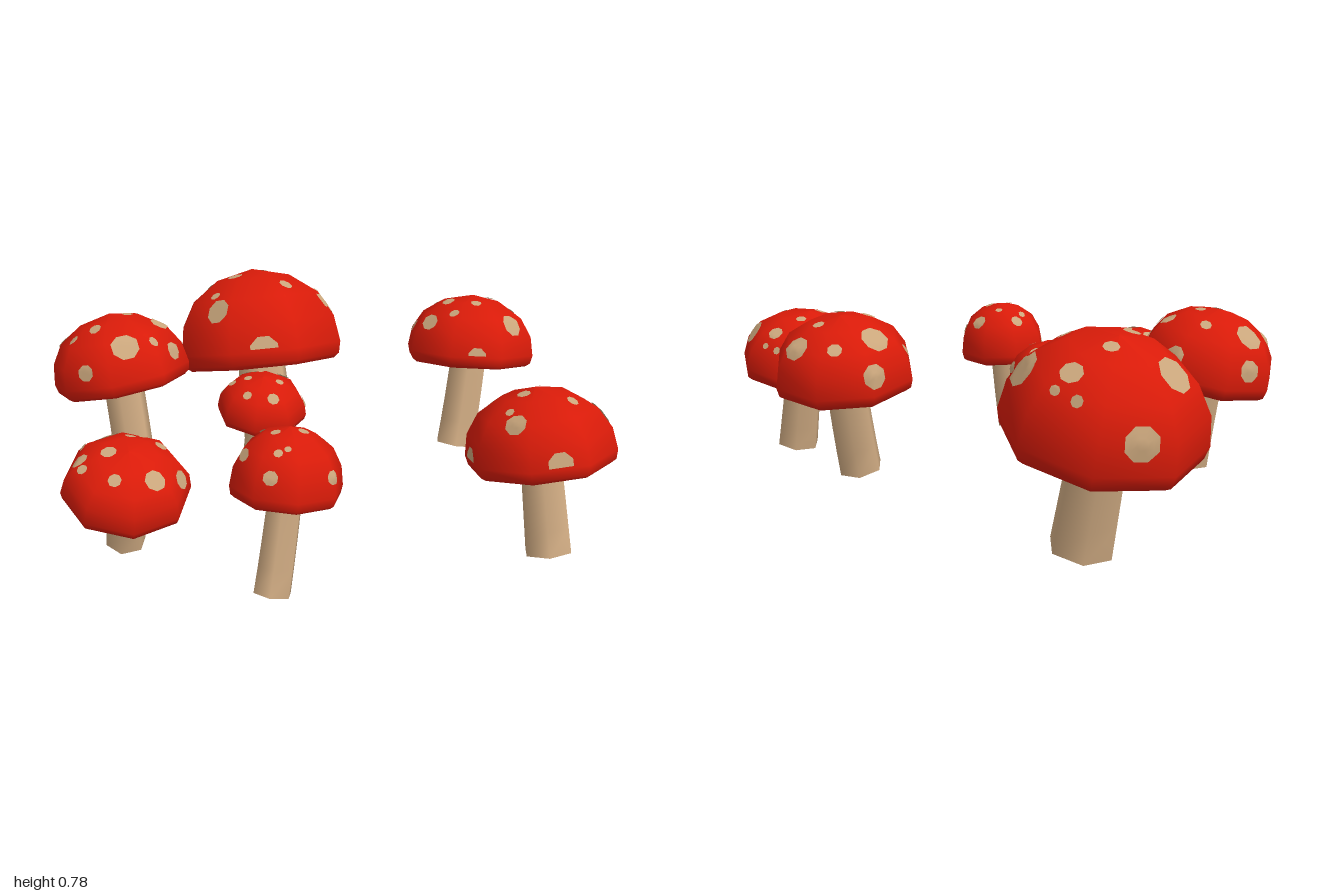
import * as THREE from 'three';
import { toCreasedNormals } from 'three/addons/utils/BufferGeometryUtils.js';

const red = new THREE.MeshStandardMaterial({ color: 0xd91b09 });
red.name = 'capRed';
const beige = new THREE.MeshStandardMaterial({ color: 0xd2ad84, side: THREE.DoubleSide });
beige.name = 'stemBeige';
const tan = new THREE.MeshStandardMaterial({ color: 0xcaa67c, side: THREE.DoubleSide });
tan.name = 'spotTan';

const UP = new THREE.Vector3(0, 1, 0);
const V = (x, y, z) => new THREE.Vector3(x, y, z);

// Spots: [x, z, radius] seen from above, as fractions of the cap radius.
// A fourth number puts the spot on the cap's wall at that fraction of its height.
const wideSpots = [[-.58, -.45, .19], [-.03, -.4, .08], [.33, -.6, .11], [.3, -.79, .06], [.48, -.67, .05], [.73, -.12, .19],
  [.33, .18, .08], [-.27, .06, .09], [-.45, .36, .06], [-.39, .58, .15], [.18, .9, .17], [-.93, .18, .19], [-.24, -.93, .19, .42]];
const evenSpots = [[-.45, -.5, .2], [.05, -.77, .1], [.58, -.55, .18], [.3, -.32, .08], [-.34, .09, .1], [.07, .25, .08],
  [-.25, .47, .08], [-.6, .4, .13], [.6, .4, .18], [-.85, -.1, .1], [.1, .9, .14], [-.5, -.8, .18, .38]];
const sideSpots = [[-.5, -.54, .2], [.09, -.54, .08], [.55, -.72, .15], [.54, -.11, .13], [.09, -.1, .08], [-.26, .37, .09],
  [-.57, .4, .08], [.22, .63, .2], [.57, .4, .08], [-.85, -.07, .12], [-.26, .92, .13, .35], [.9, .2, .14, .35], [-.47, -.85, .18, .4]];
const tallSpots = [[-.3, -.65, .14], [.1, -.45, .08], [.55, -.52, .17], [-.42, -.42, .08], [-.15, .1, .09], [.3, -.05, .1],
  [-.65, .3, .12], [-.05, .55, .08], [.1, .48, .06], [-.15, .8, .13], [-.92, -.1, .15], [.85, .4, .13]];
const smallSpots = [[-.3, -.55, .15], [.4, -.45, .15], [-.03, -.2, .07], [-.25, .18, .09], [.43, .18, .09],
  [.35, .65, .13], [-.2, .65, .1], [-.6, .15, .09], [-.9, -.2, .15, .38], [.9, -.1, .15, .38]];
const lowSpots = [[-.4, -.45, .21], [.05, -.25, .09], [.2, -.4, .06], [.5, -.27, .1], [-.65, -.1, .07], [-.15, .27, .12],
  [-.6, .3, .14], [-.5, .5, .08], [.57, .5, .16], [.03, .7, .1], [.87, .08, .15], [-.08, -.85, .12]];

// rim: centre of the cap's lower edge; slope: rise of that edge along x and z;
// foot: centre of the stem's base; stem: radii at base and top; turn in degrees
const mushrooms = [
  { rim: [-.313, .425, -.605], r: .345, h: .357, slope: [.12, .24], foot: [-.26, .02, -.53], stem: [.115, .1], turn: 35, spots: wideSpots },
  { rim: [.53, .55, -.30], r: .244, h: .232, slope: [-.03, .18], foot: [.49, .22, -.23], stem: [.078, .073], turn: 28, spots: evenSpots },
  { rim: [-.745, .505, -.035], r: .253, h: .25, slope: [.19, .1], foot: [-.705, .165, 0], stem: [.076, .074], turn: 7, spots: sideSpots },
  { rim: [-.205, .455, .135], r: .158, h: .147, slope: [-.08, -.17], foot: [-.23, .235, .12], stem: [.058, .055], turn: 0, spots: smallSpots },
  { rim: [.76, .435, .425], r: .25, h: .245, slope: [.13, .125], foot: [.80, .125, .47], stem: [.084, .074], turn: 35, spots: wideSpots },
  { rim: [-.565, .375, .69], r: .208, h: .177, slope: [-.18, -.3], foot: [-.59, .18, .635], stem: [.067, .06], turn: 20, spots: lowSpots },
  { rim: [-.04, .44, .77], r: .179, h: .21, slope: [-.06, .1], foot: [-.08, .118, .83], stem: [.064, .058], turn: 18, spots: tallSpots },
];

function lathe(profile, r, h, turn) {
  const points = profile.map(([x, y]) => new THREE.Vector2(x * r, y * h));
  return new THREE.LatheGeometry(points, 8, THREE.MathUtils.degToRad(turn));
}

// Slightly bent stem: an open six-sided tube swept along a curve
function stemGeometry(foot, top, axis, [rBase, rTop]) {
  const middle = top.clone().addScaledVector(axis, -.5 * top.distanceTo(foot));
  middle.lerp(foot.clone().lerp(top, .5), .7);
  const curve = new THREE.QuadraticBezierCurve3(foot, middle, top);
  const g = new THREE.CylinderGeometry(rTop, rBase, 1, 6, 4, true);
  const p = g.attributes.position;
  for (let i = 0; i < p.count; i++) {
    const t = p.getY(i) + .5;
    const q = new THREE.Quaternion().setFromUnitVectors(UP, curve.getTangent(t));
    const v = V(p.getX(i), 0, p.getZ(i)).applyQuaternion(q).add(curve.getPoint(t));
    p.setXYZ(i, v.x, v.y, v.z);
  }
  return toCreasedNormals(g, THREE.MathUtils.degToRad(66));
}

const castOnto = (cap, from, dir) => new THREE.Raycaster(from, dir).intersectObject(cap)[0]?.point;

// Middle of a spot in the cap's own frame
function spotCentre(cap, [x, z, , wall], r, h, untilt) {
  if (wall !== undefined) return V(x * r, wall * h, z * r);
  const down = V(0, -1, 0).applyQuaternion(untilt);
  for (let k = 1; k > .5; k -= .02) {
    const point = castOnto(cap, V(x * r * k, 2, z * r * k).applyQuaternion(untilt), down);
    if (point) return point;
  }
  return V(0, h, 0);
}

// Thin eight-sided spot draped over the cap
function spotGeometry(cap, centre, size, h) {
  const target = V(0, .12 * h, 0);
  const out = centre.clone().sub(target).normalize();
  const side = V(0, 1, .01).cross(out).normalize();
  const rise = out.clone().cross(side);
  const positions = [], index = [];
  const drape = (a, k) => {
    const v = centre.clone().addScaledVector(side, Math.cos(a) * k).addScaledVector(rise, Math.sin(a) * k);
    v.y = Math.max(v.y, .13 * h);
    const dir = v.sub(target).normalize();
    const point = castOnto(cap, target.clone().addScaledVector(dir, 2), dir.clone().negate()) ?? centre.clone();
    point.addScaledVector(dir, .004);
    positions.push(point.x, point.y, point.z);
  };
  drape(0, 0);
  for (let ring = 1; ring <= 3; ring++) {
    for (let i = 0; i < 8; i++) drape((i + .5) * Math.PI / 4, size * ring / 3);
  }
  for (let i = 0; i < 8; i++) {
    const j = (i + 1) % 8;
    index.push(0, 1 + i, 1 + j);
    for (let k = 1; k <= 9; k += 8) index.push(k + i, k + 8 + i, k + 8 + j, k + i, k + 8 + j, k + j);
  }
  const g = new THREE.BufferGeometry();
  g.setAttribute('position', new THREE.Float32BufferAttribute(positions, 3));
  g.setIndex(index);
  g.computeVertexNormals();
  return g;
}

function add(parent, name, geometry, material) {
  const mesh = new THREE.Mesh(geometry, material);
  mesh.name = name;
  parent.add(mesh);
  return mesh;
}

function createMushroom({ rim, r, h, slope, foot, stem, turn, spots }) {
  const group = new THREE.Group();
  group.name = 'mushroom';
  const base = V(...rim);
  const axis = V(-slope[0], 1, -slope[1]).normalize();
  const tilt = new THREE.Quaternion().setFromUnitVectors(UP, axis);
  const top = base.clone().addScaledVector(axis, .13 * h);
  add(group, 'stem', stemGeometry(V(...foot), top, axis, stem), beige);

  // Cap dome with a rolled lip, and the pale underside, share one tilted group
  const head = new THREE.Group();
  head.name = 'cap';
  const dome = lathe([[.9, -.08], [.97, -.03], [1, .1], [.95, .4], [.78, .68], [.45, .9], [0, 1]], r, h, turn);
  const cap = add(head, 'capDome', dome, red);
  add(head, 'capUnderside', lathe([[0, .08], [.45, -.02], [.75, -.09], [.9, -.08]], r, h, turn), beige);

  const untilt = tilt.clone().invert();
  for (const spot of spots) {
    const centre = spotCentre(cap, spot, r, h, untilt);
    add(head, 'spot', spotGeometry(cap, centre, spot[2] * r, h), tan);
  }
  head.quaternion.copy(tilt);
  head.position.copy(base);
  group.add(head);
  return group;
}

export function createModel() {
  const model = new THREE.Group();
  model.name = 'mushroomCluster';
  mushrooms.forEach((m) => model.add(createMushroom(m)));
  return model;
}
